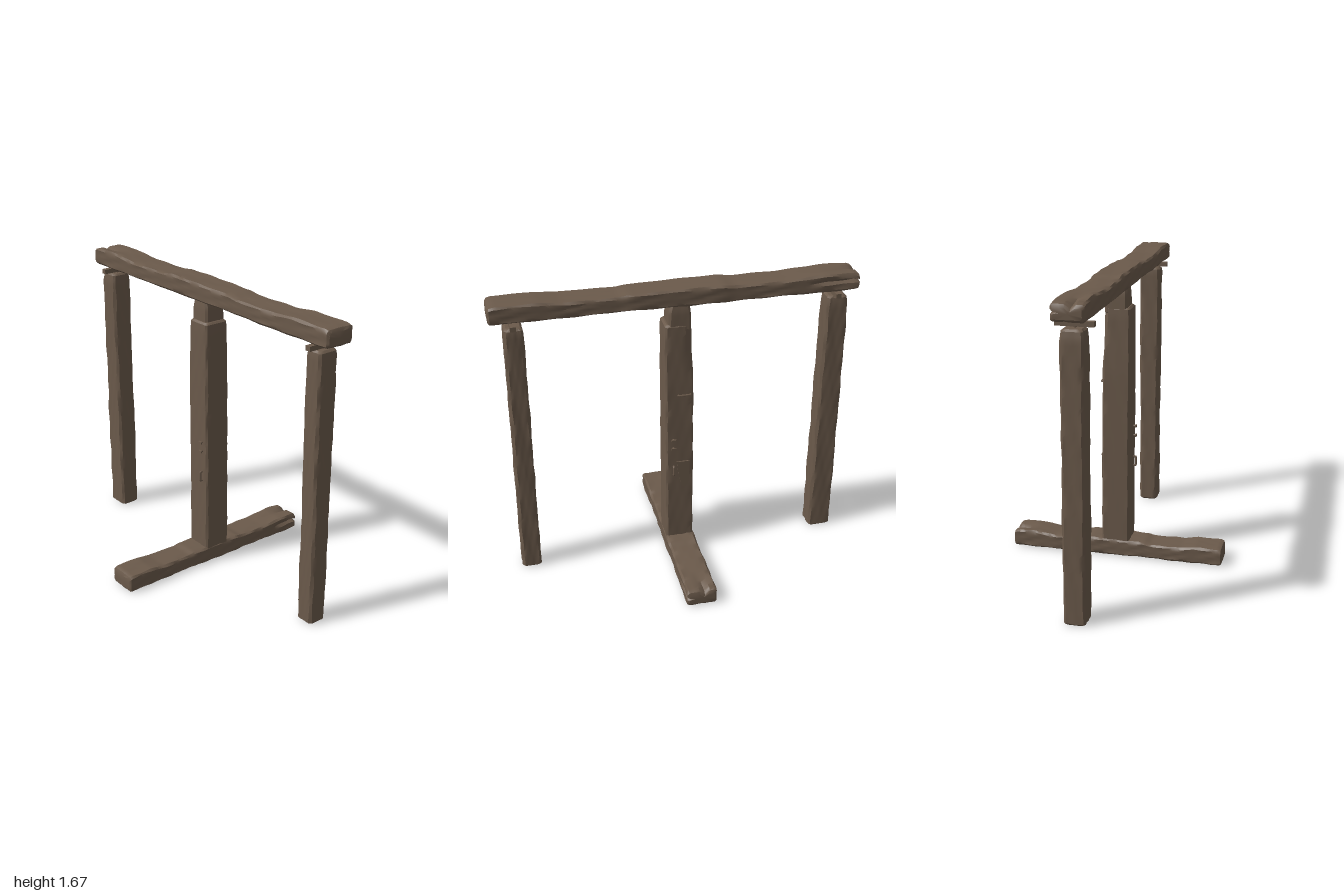
import * as THREE from 'three';
import { toCreasedNormals } from 'three/addons/utils/BufferGeometryUtils.js';

const wood = new THREE.MeshStandardMaterial({ color: 0x6b5a4b });
wood.name = 'weathered wood';

// Outline of a squared timber with worn corners; each point is (u, v) in -1..1 plus a bevel offset.
const SIDE = 5;
function ring(u0, u1, v0, v1, bevel) {
  const corners = [[u0, v0, 1, 1], [u1, v0, -1, 1], [u1, v1, -1, -1], [u0, v1, 1, -1]];
  const points = [];
  corners.forEach(([u, v, du, dv], i) => {
    const [nu, nv, eu, ev] = corners[(i + 1) % 4];
    const along = i % 2 === 0;
    const a = [u + (along ? du * bevel : 0), v + (along ? 0 : dv * bevel)];
    const b = [nu + (along ? eu * bevel : 0), nv + (along ? 0 : ev * bevel)];
    for (let k = 0; k <= SIDE; k++) {
      const t = k / SIDE;
      points.push([a[0] + (b[0] - a[0]) * t, a[1] + (b[1] - a[1]) * t]);
    }
  });
  return points;
}

// Lofted timber along s. Keys are [s, u0, u1, v0, v1]; carve(p, s, k) may move ring points.
function timber(keys, steps, place, { seed = 1, rough = 0.0025, bevel = 0.012, carve } = {}) {
  const s0 = keys[0][0], s1 = keys[keys.length - 1][0];
  const at = (s) => {
    let i = 0;
    while (i < keys.length - 2 && s > keys[i + 1][0]) i++;
    const t = (s - keys[i][0]) / (keys[i + 1][0] - keys[i][0]);
    return keys[i].map((a, j) => a + (keys[i + 1][j] - a) * t);
  };
  const positions = [], index = [], rows = [];
  const addRow = (s, inset) => {
    const [, u0, u1, v0, v1] = at(s);
    const points = ring(u0 + inset, u1 - inset, v0 + inset, v1 - inset, bevel);
    rows.push(positions.length / 3);
    points.forEach((p, k) => {
      if (inset === 0) {
        p[0] += rough * Math.sin(s * 23 + k * 1.9 + seed) * Math.sin(s * 9 + seed * 3);
        p[1] += rough * Math.sin(s * 19 + k * 2.3 + seed * 2) * Math.sin(s * 11 + k);
      }
      if (carve) carve(p, s, k);
      positions.push(...place(p[0], p[1], s));
    });
    return points.length;
  };
  const edge = 0.01;
  let n = addRow(s0, edge);
  for (let i = 0; i <= steps; i++) addRow(s0 + edge + (s1 - s0 - 2 * edge) * i / steps, 0);
  addRow(s1, edge);
  for (let r = 0; r < rows.length - 1; r++) {
    for (let k = 0; k < n; k++) {
      const a = rows[r] + k, b = rows[r] + (k + 1) % n;
      const c = rows[r + 1] + k, d = rows[r + 1] + (k + 1) % n;
      index.push(a, b, d, a, d, c);
    }
  }
  // End grain
  [[s0, rows[0], true], [s1, rows[rows.length - 1], false]].forEach(([s, row, flip]) => {
    const [, u0, u1, v0, v1] = at(s);
    const centre = positions.length / 3;
    positions.push(...place((u0 + u1) / 2, (v0 + v1) / 2, s));
    for (let k = 0; k < n; k++) {
      const a = row + k, b = row + (k + 1) % n;
      if (flip) index.push(centre, b, a);
      else index.push(centre, a, b);
    }
  });
  const geometry = new THREE.BufferGeometry();
  geometry.setAttribute('position', new THREE.Float32BufferAttribute(positions, 3));
  geometry.setIndex(index);
  return toCreasedNormals(geometry, 0.6);
}

const lying = (u, v, s) => [u, v, s];
const standing = (u, v, s) => [v, s, u];

export function createModel() {
  const group = new THREE.Group();
  const add = (name, geometry, x = 0, y = 0, z = 0) => {
    const mesh = new THREE.Mesh(geometry, wood);
    mesh.name = name;
    mesh.position.set(x, y, z);
    group.add(mesh);
    return mesh;
  };

  // Worn horizontal timber, split near its back end
  const beam = timber([
    [-1, -0.078, 0.085, 0.005, 0.08], [-0.98, -0.08, 0.088, 0.002, 0.094],
    [-0.8, -0.08, 0.088, 0, 0.1], [-0.58, -0.085, 0.085, 0, 0.087],
    [-0.3, -0.083, 0.08, 0, 0.087], [-0.24, -0.083, 0.085, 0, 0.096],
    [0.27, -0.083, 0.08, 0, 0.093], [0.32, -0.085, 0.075, 0, 0.084],
    [0.62, -0.09, 0.078, 0, 0.084], [0.75, -0.088, 0.08, 0, 0.096],
    [0.98, -0.09, 0.08, 0, 0.096], [1, -0.088, 0.078, 0, 0.086],
  ], 90, lying, {
    seed: 2, bevel: 0.01,
    carve(p, s, k) {
      const split = Math.max(0, (-s - 0.68) / 0.32);
      if (k === 9) p[0] -= 0.03 * split;
      if (k === 15) p[1] -= 0.02 * split;
    },
  });
  add('topBeam', beam, 0, 1.572, 0);
  const foot = add('footBeam', beam, 0, 0.003, 0);
  foot.rotation.y = -Math.PI / 2;
  foot.scale.z = 0.618;

  // Central post, its back corner split away towards the top
  add('centrePost', timber([
    [0.05, -0.075, 0.08, -0.077, 0.08], [0.5, -0.077, 0.08, -0.078, 0.08],
    [1.1, -0.077, 0.08, -0.08, 0.074], [1.4, -0.07, 0.079, -0.08, 0.068],
    [1.46, -0.066, 0.076, -0.078, 0.066],
  ], 60, standing, {
    seed: 4, rough: 0.002, bevel: 0.01,
    carve(p, s) {
      const chip = Math.max(0, Math.min(1, (s - 1.15) / 0.25));
      if (p[0] < -0.04 && p[1] > 0.03) p[1] -= 0.016 * chip;
    },
  }));
  add('postTenon', timber([
    [1.42, -0.066, 0.06, -0.064, 0.064], [1.53, -0.064, 0.056, -0.062, 0.063],
    [1.578, -0.056, 0.044, -0.056, 0.056],
  ], 8, standing, { seed: 5, rough: 0.001 }));

  // Hanging posts
  add('frontHangingPost', timber([
    [0, 0.824, 0.932, -0.055, 0.053], [0.5, 0.824, 0.93, -0.055, 0.056],
    [1.0, 0.822, 0.926, -0.058, 0.06], [1.5, 0.822, 0.924, -0.06, 0.064],
    [1.53, 0.826, 0.92, -0.056, 0.06],
  ], 70, standing, { seed: 7, rough: 0.003 }));
  add('backHangingPost', timber([
    [0, -0.95, -0.818, -0.056, 0.06], [0.6, -0.952, -0.822, -0.058, 0.06],
    [1.2, -0.952, -0.828, -0.06, 0.058], [1.48, -0.951, -0.832, -0.06, 0.06],
    [1.53, -0.942, -0.836, -0.054, 0.055],
  ], 70, standing, { seed: 9, rough: 0.003 }));

  // Cross pegs between the beam and the hanging posts
  const peg = new THREE.BoxGeometry(0.195, 0.026, 0.03);
  add('frontPeg', peg, 0, 1.548, 0.877);
  add('backPeg', peg, 0, 1.548, -0.877);
  const hanger = new THREE.CylinderGeometry(0.01, 0.01, 0.07, 8);
  for (const z of [0.877, -0.877]) add('pegHanger', hanger, 0, 1.55, z);

  // Nails through the central post
  const nail = new THREE.CylinderGeometry(0.007, 0.007, 0.19, 8).rotateZ(Math.PI / 2);
  const nailHead = new THREE.BoxGeometry(0.008, 0.012, 0.026);
  for (const y of [0.76, 0.705]) {
    add('nail', nail, 0, y, 0.038);
    for (const x of [-0.092, 0.092]) add('nailHead', nailHead, x, y, 0.038);
  }

  // Bent staples on both faces, and one high staple on the left face
  const staple = (length) => new THREE.TubeGeometry(new THREE.CatmullRomCurve3([
    [0, -length, 0], [0.018, -length, 0], [0.018, length, 0], [0, length, 0],
  ].map((p) => new THREE.Vector3(...p)), false, 'catmullrom', 0.1), 20, 0.006, 6);
  const short = staple(0.026);
  add('leftStaple', short, 0.074, 0.557, 0.038);
  add('rightStaple', short, -0.074, 0.55, 0.038).rotation.y = Math.PI;
  add('highStaple', staple(0.034), 0.064, 1.04, -0.025).rotation.x = Math.PI / 2;

  // Worn patch on the left face
  const outline = new THREE.Shape();
  outline.moveTo(-0.02, 0.09);
  outline.lineTo(0.055, 0.09);
  outline.lineTo(0.05, -0.05);
  outline.quadraticCurveTo(0.035, -0.09, 0.01, -0.075);
  outline.lineTo(-0.01, 0);
  outline.closePath();
  const patch = new THREE.ExtrudeGeometry(outline, { depth: 0.009, bevelEnabled: false });
  add('wornPatch', patch.rotateY(Math.PI / 2), 0.077, 0.522, 0);

  return group;
}
